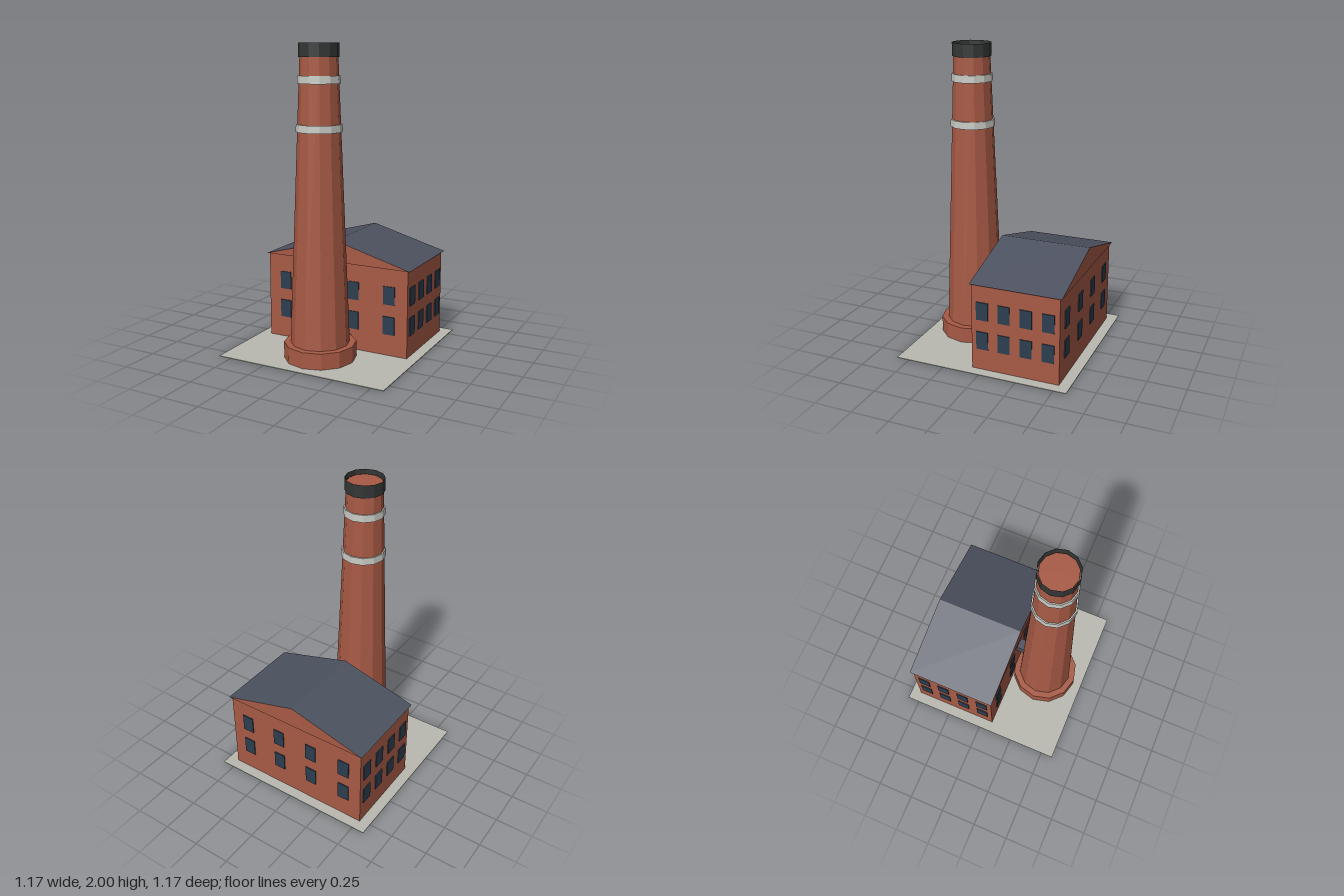
import * as THREE from 'three';

function mat(name, color, extra = {}) {
  const m = new THREE.MeshStandardMaterial({ color, flatShading: true, ...extra });
  m.name = name;
  return m;
}

export function createModel() {
  const brick = mat('brick', 0xa85a45);
  const slate = mat('slate', 0x4d5260);
  const glass = mat('window glass', 0x2c3e50);
  const stone = mat('concrete', 0xb9b9b1);
  const band = mat('pale band', 0xc6c8c2);
  const soot = mat('sooty cap', 0x343636, { side: THREE.DoubleSide });

  const model = new THREE.Group();
  model.name = 'factory';

  const add = (name, geometry, material, x, y, z, parent = model) => {
    const mesh = new THREE.Mesh(geometry, material);
    mesh.name = name;
    mesh.position.set(x, y, z);
    parent.add(mesh);
    return mesh;
  };

  // Ground slab
  add('ground', new THREE.BoxGeometry(1.17, 0.005, 1.17), stone, 0, 0.0025, 0);

  // Factory hall
  const W = 1.026, D = 0.588, H = 0.585, hallZ = -0.22;
  const hall = new THREE.Group();
  hall.name = 'hall';
  hall.position.z = hallZ;
  model.add(hall);
  add('walls', new THREE.BoxGeometry(W, H, D), brick, 0, H / 2, 0, hall);

  // Gabled roof: brick ends, slate slopes
  const gable = new THREE.Shape([
    new THREE.Vector2(-0.528, 0), new THREE.Vector2(0.528, 0), new THREE.Vector2(0, 0.145),
  ]);
  const roofDepth = 0.612;
  const roofGeo = new THREE.ExtrudeGeometry(gable, { depth: roofDepth, bevelEnabled: false });
  add('roof', roofGeo, [brick, slate], 0, H, -roofDepth / 2 - 0.003, hall);

  // Windows: two rows of four on each wall
  const pane = new THREE.BoxGeometry(0.08, 0.12, 0.009);
  const walls = [
    ['front', W, D / 2, 0], ['back', W, D / 2, Math.PI],
    ['left', D, W / 2, Math.PI / 2], ['right', D, W / 2, -Math.PI / 2],
  ];
  for (const [side, length, out, turn] of walls) {
    const group = new THREE.Group();
    group.name = side + 'Windows';
    group.rotation.y = turn;
    hall.add(group);
    for (const y of [0.207, 0.408]) {
      for (let i = 0; i < 4; i++) {
        add('window', pane, glass, (i - 1.5) * length / 4, y, out + 0.002, group);
      }
    }
  }

  // Chimney
  const chimney = new THREE.Group();
  chimney.name = 'chimney';
  chimney.position.z = 0.29;
  model.add(chimney);
  const drum = (name, rTop, rBottom, y0, y1, material, open = false) =>
    add(name, new THREE.CylinderGeometry(rTop, rBottom, y1 - y0, 12, 1, open),
      material, 0, (y0 + y1) / 2, 0, chimney);

  drum('chimneyBase', 0.233, 0.233, 0.004, 0.11, brick);
  drum('chimneyShaft', 0.116, 0.19, 0.11, 1.97, brick);
  drum('lowerBand', 0.143, 0.146, 1.463, 1.51, band);
  drum('upperBand', 0.131, 0.134, 1.757, 1.805, band);
  drum('chimneyCap', 0.126, 0.126, 1.915, 2, soot, true);

  // Flue duct joining hall and chimney
  add('flue', new THREE.BoxGeometry(0.073, 0.073, 0.1), slate, 0, 0.437, 0.11);

  return model;
}
